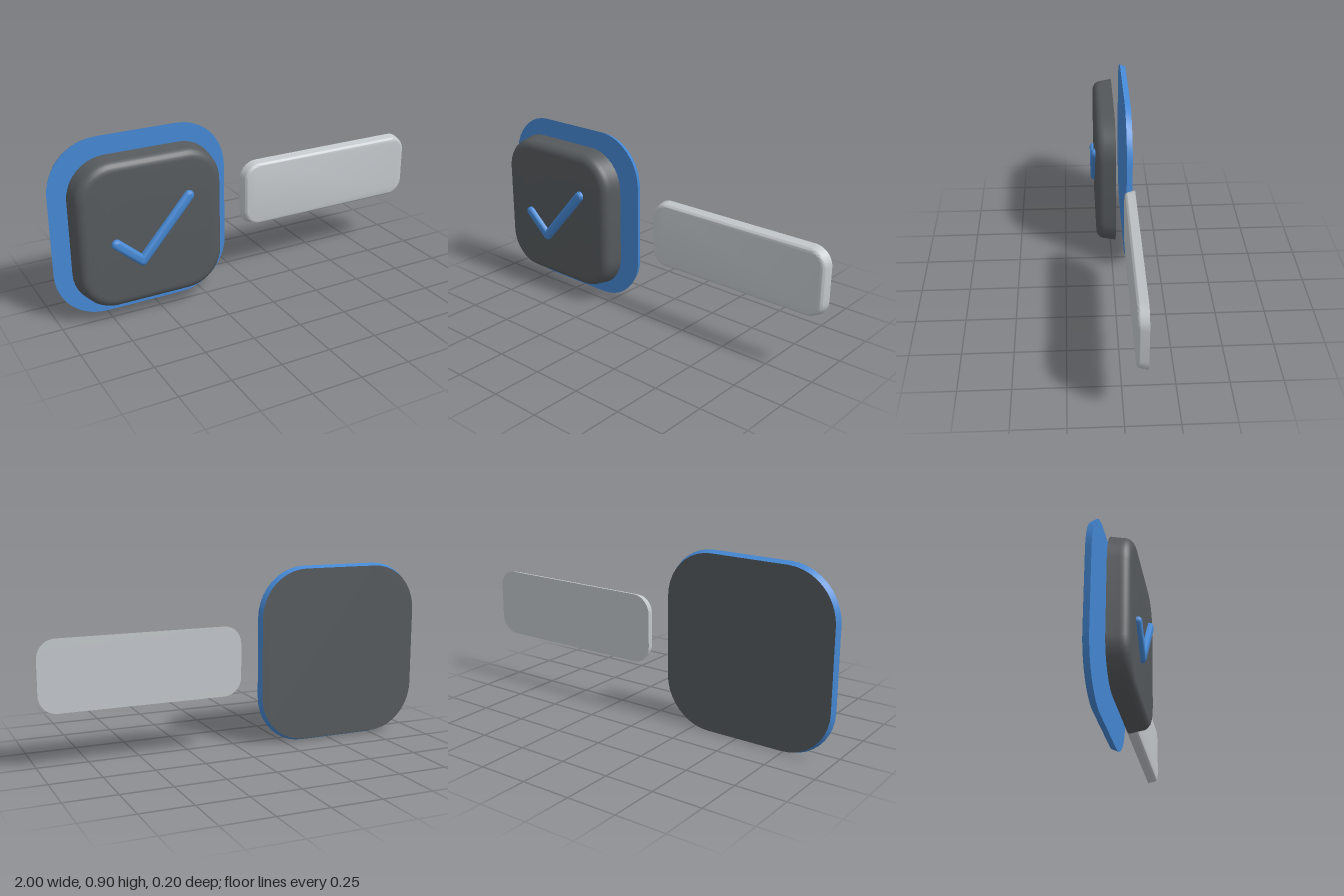
import * as THREE from 'three';
import { toCreasedNormals } from 'three/addons/utils/BufferGeometryUtils.js';

const blue = new THREE.MeshStandardMaterial({ color: 0x4588d4 });
const charcoal = new THREE.MeshStandardMaterial({ color: 0x565a5d });
const silver = new THREE.MeshStandardMaterial({ color: 0xc3c8cc });
blue.name = 'blue';
charcoal.name = 'charcoal';
silver.name = 'silver';

// Points on an arc, counter-clockwise unless a1 < a0
function arc(cx, cy, r, a0, a1, n = 10) {
  return Array.from({ length: n + 1 }, (_, i) => {
    const a = a0 + ((a1 - a0) * i) / n;
    return [cx + r * Math.cos(a), cy + r * Math.sin(a)];
  });
}

// Rounded rectangle outline that shrinks by an inset
const roundedRect = (x0, x1, y0, y1, radius) => (inset) => {
  const r = radius - inset, q = Math.PI / 2;
  return [
    ...arc(x1 - radius, y0 + radius, r, -q, 0),
    ...arc(x1 - radius, y1 - radius, r, 0, q),
    ...arc(x0 + radius, y1 - radius, r, q, 2 * q),
    ...arc(x0 + radius, y0 + radius, r, 2 * q, 3 * q),
  ];
};

// Outline of a bent stroke a-b-c with round ends and a round outer corner
const stroke = (a, b, c, halfWidth) => (inset) => {
  const r = halfWidth - inset, q = Math.PI / 2;
  const t1 = Math.atan2(b[1] - a[1], b[0] - a[0]);
  const t2 = Math.atan2(c[1] - b[1], c[0] - b[0]);
  const mid = (t1 + t2) / 2 + q;
  const miter = r / Math.cos((t2 - t1) / 2);
  return [
    ...arc(...b, r, t1 - q, t2 - q),
    ...arc(...c, r, t2 - q, t2 + q),
    [b[0] + miter * Math.cos(mid), b[1] + miter * Math.sin(mid)],
    ...arc(...a, r, t1 + q, t1 + 3 * q).slice(0, -1),
  ];
};

// Closed loft through [z, inset] steps, back to front; groups: walls and front, back
function loft(name, outline, steps, material, backMaterial = material) {
  const rings = steps.map(([z, inset]) => outline(inset).map(([x, y]) => new THREE.Vector3(x, y, z)));
  const pts = [];
  for (let k = 0; k < rings.length - 1; k++) {
    const lo = rings[k], hi = rings[k + 1];
    for (let i = 0; i < lo.length; i++) {
      const j = (i + 1) % lo.length;
      pts.push(lo[i], lo[j], hi[j], lo[i], hi[j], hi[i]);
    }
  }
  const cap = (ring, flip) => {
    const flat = ring.map((p) => new THREE.Vector2(p.x, p.y));
    for (const [a, b, c] of THREE.ShapeUtils.triangulateShape(flat, [])) {
      pts.push(ring[a], ring[flip ? c : b], ring[flip ? b : c]);
    }
  };
  cap(rings[rings.length - 1], false);
  const backStart = pts.length;
  cap(rings[0], true);
  const geometry = new THREE.BufferGeometry().setFromPoints(pts);
  geometry.addGroup(0, backStart, 0);
  geometry.addGroup(backStart, pts.length - backStart, 1);
  const mesh = new THREE.Mesh(toCreasedNormals(geometry, 0.6), [material, backMaterial]);
  mesh.name = name;
  return mesh;
}

// Profile: slightly tapered wall followed by a quarter-round front edge
function softEdge(zBack, zFront, taper, round, n = 6) {
  const steps = [[zBack, 0]];
  for (let i = 0; i <= n; i++) {
    const a = (i / n) * (Math.PI / 2);
    steps.push([zFront - round * (1 - Math.sin(a)), taper + round * (1 - Math.cos(a))]);
  }
  return steps;
}

export function createModel() {
  const group = new THREE.Group();
  group.name = 'checkboxWithLabel';
  group.add(
    // Back plate, widest at its front, with a dark rear face
    loft('backPlate', roundedRect(-1, -0.104, 0.004, 0.9, 0.25),
      [[-0.1, 0.012], [-0.07, 0]], blue, charcoal),
    // Raised tile
    loft('tile', roundedRect(-0.925, -0.179, 0.079, 0.825, 0.19),
      softEdge(-0.02, 0.08, 0.01, 0.045), charcoal),
    // Check mark on the tile
    loft('checkMark', stroke([-0.738, 0.42], [-0.615, 0.312], [-0.368, 0.592], 0.025),
      softEdge(0.075, 0.102, 0.001, 0.015, 3), blue),
    // Label bar beside the tile
    loft('labelBar', roundedRect(0, 1, 0.28, 0.627, 0.09),
      softEdge(-0.1, -0.05, 0.008, 0.018), silver),
  );
  return group;
}
